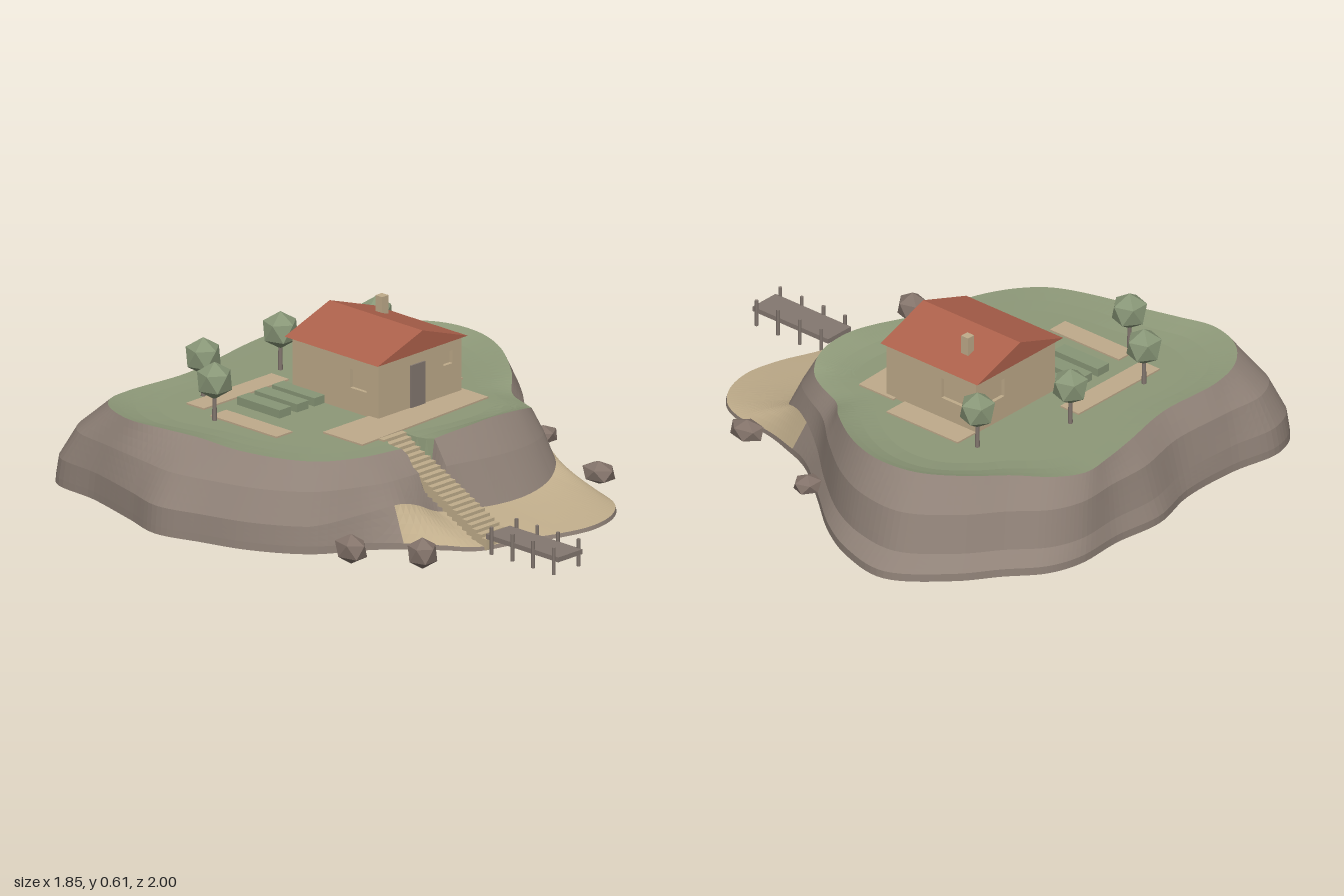
import * as THREE from 'three';

const mat = (name, color) => Object.assign(new THREE.MeshStandardMaterial({ color }), { name });

export function createModel() {
  const rock = mat('rock', 0x8f8177), grass = mat('grass', 0x8d9878), sand = mat('sand', 0xc0ad8b);
  const path = mat('path', 0xbfaa8b), wall = mat('wall', 0xbfab8a), roofRed = mat('roof', 0xad614b);
  const wood = mat('wood', 0x847870), leaf = mat('leaf', 0x889677), boulderMat = mat('boulder', 0x83736a);

  const island = new THREE.Group();
  island.name = 'island';
  const add = (name, geo, material, x = 0, y = 0, z = 0, parent = island) => {
    const m = new THREE.Mesh(geo, material);
    m.name = name;
    m.position.set(x, y, z);
    parent.add(m);
    return m;
  };
  // box given by its limits
  const box = (name, material, x0, x1, y0, y1, z0, z1, parent) =>
    add(name, new THREE.BoxGeometry(x1 - x0, y1 - y0, z1 - z0), material,
      (x0 + x1) / 2, (y0 + y1) / 2, (z0 + z1) / 2, parent);

  // Shoreline stations: x, beach amount, z
  const shore = [
    [-.52, .2, .36], [-.36, .75, .53], [-.26, 1, .64], [-.12, 1, .68], [.03, 1, .74], [.16, 1, .765],
    [.28, 1, .74], [.37, 1, .675], [.415, .95, .585], [.425, .8, .45], [.46, .5, .32], [.53, .1, .16],
    [.655, 0, 0], [.8, 0, -.18], [.885, 0, -.34], [.92, 0, -.54], [.77, 0, -.74], [.64, 0, -.84],
    [.515, 0, -.945], [.39, 0, -.985], [.19, 0, -.98], [-.01, 0, -1], [-.21, 0, -.95], [-.45, 0, -.95],
    [-.66, 0, -.98], [-.79, 0, -.91], [-.82, 0, -.7], [-.88, 0, -.47], [-.925, 0, -.3], [-.88, 0, -.13],
    [-.82, 0, .055], [-.71, 0, .23]];
  // Clifftop stations: x, height, z
  const rim = [
    [-.42, .3, .215], [-.29, .3, .245], [-.2, .3, .265], [-.1, .315, .285], [.01, .33, .31], [.11, .34, .325],
    [.19, .338, .33], [.26, .33, .325], [.32, .315, .305], [.365, .295, .27], [.4, .285, .205], [.445, .285, .1],
    [.545, .31, 0], [.67, .33, -.18], [.72, .335, -.34], [.7, .335, -.5], [.6, .33, -.64], [.48, .32, -.74],
    [.37, .31, -.855], [.26, .3, -.9], [.14, .3, -.89], [0, .3, -.865], [-.235, .305, -.82], [-.5, .31, -.83],
    [-.63, .32, -.8], [-.72, .33, -.72], [-.765, .33, -.58], [-.74, .325, -.44], [-.71, .32, -.3],
    [-.69, .31, -.13], [-.63, .305, .05], [-.55, .3, .145]];
  const loop = pts => new THREE.CatmullRomCurve3(pts.map(p => new THREE.Vector3(...p)), true);
  const shoreCurve = loop(shore), rimCurve = loop(rim);
  const N = 224, mix = THREE.MathUtils.lerp;
  const stairY = z => .305 - .49 * (z - .13);

  // Closed rings: 0 underside, 1-13 cliff (foot at 5, clifftop at 13), 14-17 meadow
  const rings = Array.from({ length: 18 }, () => []), beach = [];
  for (let i = 0; i < N; i++) {
    const o = shoreCurve.getPoint(i / N), r = rimCurve.getPoint(i / N);
    const b = THREE.MathUtils.clamp(o.y, 0, 1);
    const flare = .5 + .5 * o.x / .92;   // the foot spreads wider on the left side
    beach.push(b);
    const side = (t, y) => new THREE.Vector3(mix(o.x, r.x, t), y, mix(o.z, r.z, t));
    const top = (s, y) => new THREE.Vector3(r.x * s, y, (r.z + .3) * s - .3);
    const cliff = [
      side(.01, mix(.048, .034, b)),
      side(mix(mix(.04, .36, flare), .68, b), mix(mix(.12, .09, flare), .073 + .45 * r.x * r.x, b) + .15 * b * (1 - b)),
      side(mix(mix(.38, .55, flare), .84, b), .225),
      side(1, r.y)];
    const slope = [];
    for (let s = 0; s < 3; s++) for (let q = 0; q < 4; q++) slope.push(cliff[s].clone().lerp(cliff[s + 1], q / 4));
    const column = [
      side(0, .02), ...slope, cliff[3],
      top(.95, mix(r.y, .298, .35)), top(.88, mix(r.y, .298, .75)), top(.78, .298),
      new THREE.Vector3(0, .298, -.3)];
    column.forEach((p, k) => {
      // groove under the stairs
      if (k > 1 && Math.abs(p.x + .195) < .056 && p.z > .15) p.y = Math.min(p.y, stairY(p.z) - .03);
      rings[k].push(p);
    });
  }
  const loft = (k0, k1, keep = () => true) => {
    const pos = [];
    for (let k = k0; k < k1; k++) for (let i = 0; i < N; i++) {
      if (!keep(i)) continue;
      const j = (i + 1) % N, a = rings[k][i], b = rings[k][j], c = rings[k + 1][j], d = rings[k + 1][i];
      // split each quad along its shorter diagonal
      const quad = a.distanceTo(c) < b.distanceTo(d) ? [a, b, c, a, c, d] : [a, b, d, b, c, d];
      for (const p of (k === 16 ? [a, b, c] : quad)) pos.push(p.x, p.y, p.z);
    }
    const g = new THREE.BufferGeometry();
    g.setAttribute('position', new THREE.Float32BufferAttribute(pos, 3));
    g.computeVertexNormals();
    return g;
  };
  const sandy = i => beach[i] > .4;
  add('shoreRock', loft(0, 1), rock);
  add('lowerCliff', loft(1, 5, i => !sandy(i)), rock);
  add('beach', loft(1, 5, sandy), sand);
  add('cliff', loft(5, 13), rock);
  add('meadow', loft(13, 17), grass);
  const under = new THREE.ShapeGeometry(new THREE.Shape(rings[0].map(p => new THREE.Vector2(p.x, p.z))));
  add('underside', under.rotateX(Math.PI / 2), rock, 0, .02, 0);

  // Paths round the house
  const poly = pts => new THREE.Shape(pts.map(p => new THREE.Vector2(...p)));
  const prism = (shape, depth) => new THREE.ExtrudeGeometry(shape, { depth, bevelEnabled: false });
  const terrace = poly([[-.335, -.13], [.325, -.1], [.325, .06], [-.335, .06]]);
  add('terrace', prism(terrace, .009).rotateX(-Math.PI / 2), path, 0, .295, 0);
  for (const [x0, x1, z0, z1] of [[-.45, -.025, -.61, -.525], [-.485, -.405, -.46, -.14], [.3, .405, -.43, -.1]])
    box('path', path, x0, x1, .295, .304, z0, z1);

  // Garden beds
  for (const x of [-.33, -.243, -.157]) box('gardenBed', leaf, x, x + .058, .295, .328, -.48, -.275);

  // House: four walls with window openings round a solid core
  const house = new THREE.Group();
  house.name = 'house';
  island.add(house);
  const half = .2075, thick = .014, cx = .1025, cz = -.2225;
  const rect = (x0, x1, y0, y1) => [[x0, y0], [x1, y0], [x1, y1], [x0, y1]];
  const addWall = (name, turn, ...opening) => {
    const shape = poly(rect(-half, half, .29, .508));
    shape.holes.push(poly(rect(...opening)));
    const geo = prism(shape, thick).translate(0, 0, half - thick).rotateY(turn);
    add(name, geo, wall, cx, 0, cz, house);
  };
  addWall('frontWall', 0, .1175, .1625, .415, .463);
  addWall('leftWall', Math.PI / 2, .0475, .1425, .382, .46);
  addWall('backWall', Math.PI, -.1375, -.0575, .385, .455);
  addWall('rightWall', -Math.PI / 2, .07, .15, .385, .455);
  const inner = half - thick;
  box('core', wall, cx - inner, cx + inner, .29, .508, cz - inner, cz + inner, house);
  add('roof', prism(poly([[-.225, 0], [.225, 0], [0, .077]]), .45), roofRed, .1, .504, -.45, house);
  box('chimney', wall, .2, .232, .53, .605, -.325, -.293, house);
  box('door', wood, .053, .123, .3, .46, -.016, -.009, house);

  // Trees, with an icosahedron standing on its point
  const standing = r => new THREE.IcosahedronGeometry(r, 0).rotateX(-1.0172);
  const crown = standing(.069);
  const trunk = new THREE.CylinderGeometry(.007, .009, .12, 6);
  for (const [x, z] of [[-.345, -.63], [.035, -.625], [-.5, -.425], [.375, -.495]]) {
    add('treeTrunk', trunk, wood, x, .35, z);
    add('treeCrown', crown, leaf, x, .445, z);
  }

  // Stairs down to the jetty
  const steps = 22, run = .52 / steps;
  for (let i = 0; i < steps; i++) {
    const z = .13 + i * run, y = stairY(z);
    box('step', sand, -.253, -.138, y - .04, y, z, z + run);
  }

  // Jetty
  box('jettyDeck', wood, -.255, -.135, .065, .083, .65, 1);
  const post = new THREE.CylinderGeometry(.007, .007, .1, 6);
  for (const z of [.68, .78, .88, .98]) for (const x of [-.257, -.133]) add('jettyPost', post, wood, x, .066, z);

  // Boulders in the water
  const stone = standing(1);
  for (const [x, y, z, rx, ry, rz] of [
    [-.66, .068, .39, .05, .055, .073], [-.52, .068, .6, .056, .058, .06], [.51, .066, .455, .053, .042, .073],
    [.655, .065, .045, .058, .036, .053], [-.8, .045, -.43, .05, .045, .05]])
    add('boulder', stone, boulderMat, x, y, z).scale.set(rx, ry, rz);

  return island;
}
